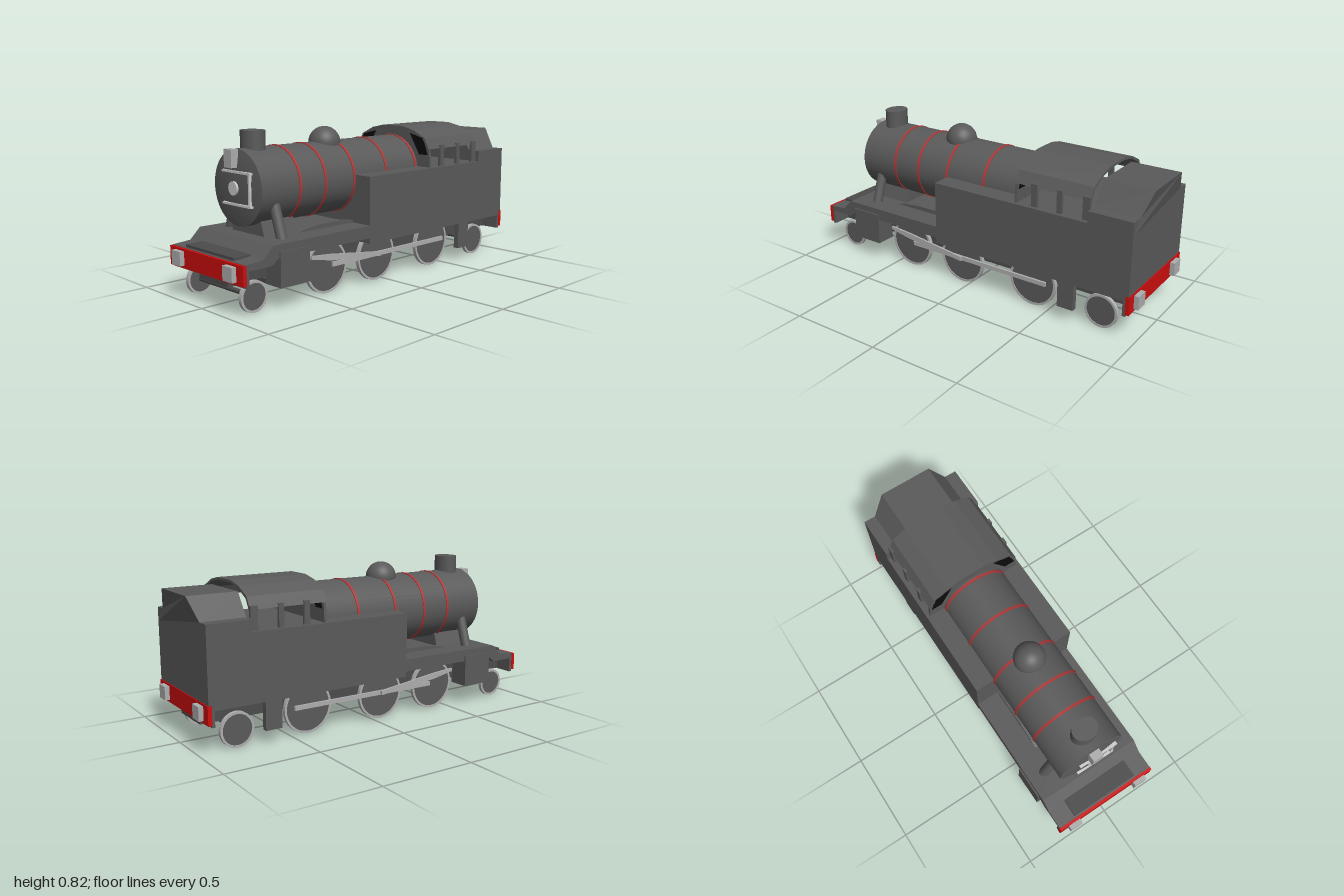
import * as THREE from 'three';

const mat = (name, color) => {
  const m = new THREE.MeshStandardMaterial({ color });
  m.name = name;
  return m;
};

export function createModel() {
  const body = mat('bodyGrey', 0x5a5a5a);
  const frameMat = mat('frameGrey', 0x4c4c4c);
  const steel = mat('steel', 0xaeaeae);
  const bright = mat('brightSteel', 0xcccccc);
  const red = mat('beamRed', 0xcc0e0e);
  const bandRed = mat('bandRed', 0xb03838);
  const glass = mat('windowBlack', 0x0c0c0c);

  const root = new THREE.Group();
  root.name = 'tankLocomotive';

  const add = (name, geo, material, x = 0, y = 0, z = 0) => {
    const m = new THREE.Mesh(geo, material);
    m.name = name;
    m.position.set(x, y, z);
    root.add(m);
    return m;
  };
  // Box given by its limits on each axis
  const box = (name, material, x0, x1, y0, y1, z0, z1) =>
    add(name, new THREE.BoxGeometry(x1 - x0, y1 - y0, z1 - z0), material,
      (x0 + x1) / 2, (y0 + y1) / 2, (z0 + z1) / 2);
  const shapeOf = pts => new THREE.Shape(pts.map(p => new THREE.Vector2(...p)));
  // Outline in x,y extruded from z0 to z1
  const slab = (pts, z0, z1) =>
    new THREE.ExtrudeGeometry(shapeOf(pts), { depth: z1 - z0, bevelEnabled: false }).translate(0, 0, z0);
  // Outline in z,y extruded from x0 to x1
  const sideSlab = (pts, x0, x1) =>
    new THREE.ExtrudeGeometry(shapeOf(pts.map(([z, y]) => [-z, y])), { depth: x1 - x0, bevelEnabled: false })
      .rotateY(Math.PI / 2).translate(x0, 0, 0);
  const mirrored = pts => [...pts, ...pts.slice().reverse().map(([x, y]) => [-x, y])];

  // Boiler with a shallow domed front
  const boilerY = 0.55;
  add('boiler', new THREE.CylinderGeometry(0.188, 0.188, 1.1, 48).rotateX(Math.PI / 2), body, 0, boilerY, 0.225);
  const doorProfile = [[0.188, 0], [0.14, 0.011], [0.07, 0.019], [0, 0.022]].map(p => new THREE.Vector2(...p));
  add('smokeboxDoor', new THREE.LatheGeometry(doorProfile, 48).rotateX(Math.PI / 2), body, 0, boilerY, 0.775);
  for (const z of [0.54, 0.374, 0.176, -0.064, -0.3]) {
    add('boilerBand', new THREE.CylinderGeometry(0.192, 0.192, 0.014, 48).rotateX(Math.PI / 2), bandRed, 0, boilerY, z);
  }

  // Chimney and steam dome
  const chimney = add('chimney', new THREE.CylinderGeometry(0.068, 0.068, 0.12, 32), body, 0, 0.762, 0.68);
  chimney.scale.z = 0.84;
  add('steamDome', new THREE.SphereGeometry(0.084, 32, 20), body, 0, 0.731, 0.212);

  // Door fittings and lamp
  box('doorBar', bright, -0.09, 0.132, 0.624, 0.635, 0.785, 0.803);
  box('doorBar', bright, -0.09, 0.132, 0.467, 0.478, 0.785, 0.803);
  box('doorUpright', bright, 0.113, 0.123, 0.478, 0.624, 0.785, 0.8);
  add('doorBoss', new THREE.CylinderGeometry(0.034, 0.034, 0.012, 24).rotateX(Math.PI / 2), bright, 0, 0.55, 0.8);
  box('lamp', steel, -0.039, 0.019, 0.65, 0.738, 0.782, 0.824);

  // Saddle, tank block and rear bunker
  add('saddle', slab(mirrored([[0.13, 0.31], [0.1, 0.4]]), 0.52, 0.72), body);
  box('sideTanks', body, -0.295, 0.295, 0.225, 0.572, -0.97, 0.17);
  const bunker = slab(mirrored([[0.295, 0.56], [0.295, 0.632], [0.228, 0.632], [0.148, 0.745]]), -0.97, -0.735);
  const p = bunker.attributes.position;
  for (let i = 0; i < p.count; i++) {
    // Lean the upper back wall outwards
    if (p.getZ(i) < -0.9 && p.getY(i) > 0.633) p.setZ(i, -0.97 - 0.03 * (p.getY(i) - 0.632) / 0.113);
  }
  bunker.computeVertexNormals();
  add('bunker', bunker, body);

  // Cab: arched roof shell, front wall, pillars and front windows
  const arch = [[0.27, 0.672], [0.237, 0.732], [0.155, 0.772], [0.07, 0.79]];
  const outer = mirrored(arch);
  const inner = mirrored([[0.256, 0.672], [0.228, 0.72], [0.151, 0.76], [0.068, 0.777]]).reverse();
  add('cabRoof', slab([...outer, ...inner], -0.735, -0.315), body);
  add('cabFrontWall', slab(mirrored([[0.277, 0.565], ...arch.map(([x, y]) => [x - 0.001, y - 0.001])]), -0.332, -0.318), body);
  const pane = [[0.26, 0.64], [0.228, 0.73], [0.131, 0.754], [0.2, 0.64]];
  for (const s of [1, -1]) {
    // Thin panes on the outer and inner faces of the front wall
    for (const z of [-0.335, -0.319]) {
      add('cabFrontWindow', slab(pane.map(([x, y]) => [x * s, y]), z, z + 0.004), glass);
    }
    const limits = s > 0 ? [0.258, 0.274] : [-0.274, -0.258];
    for (const [z0, z1] of [[-0.445, -0.412], [-0.584, -0.556], [-0.735, -0.696]]) {
      box('cabPillar', body, ...limits, 0.565, 0.69, z0, z1);
    }
  }

  // Stepped footplate and frames
  add('footplate', sideSlab([[0.96, 0.255], [0.86, 0.262], [0.8, 0.32], [0.15, 0.32], [0.15, 0.255],
    [0.77, 0.255], [0.81, 0.225], [0.96, 0.225]], -0.295, 0.295), body);
  box('mainFrame', frameMat, -0.195, 0.195, 0.148, 0.27, -0.95, 0.95);
  box('lowerFrame', frameMat, -0.115, 0.115, 0.112, 0.15, -0.94, 0.93);
  box('guardBar', frameMat, -0.18, 0.195, 0.112, 0.134, 0.73, 0.76);

  // Red end beams and square bumper pads at both ends
  for (const s of [1, -1]) {
    const zs = (a, b) => (s > 0 ? [a, b] : [-b, -a]);
    box('endBeam', red, -0.297, 0.297, 0.157, 0.253, ...zs(0.955, 0.975));
    box('beamBacking', body, -0.295, 0.295, 0.146, 0.25, ...zs(0.94, 0.956));
    for (const x of [-0.21, 0.21]) {
      box('bumperPad', steel, x - 0.036, x + 0.036, 0.171, 0.242, ...zs(0.97, 1));
    }
  }

  // Wheels: [z, radius]
  const wheels = [[0.86, 0.077], [0.405, 0.136], [0.05, 0.136], [-0.4, 0.136], [-0.795, 0.09]];
  const rimProfile = r => [[r - 0.012, -0.01], [r, -0.01], [r, 0.01], [r - 0.012, 0.01], [r - 0.012, -0.01]]
    .map(q => new THREE.Vector2(...q));
  for (const [z, r] of wheels) {
    for (const s of [1, -1]) {
      add('wheelDisc', new THREE.CylinderGeometry(r - 0.01, r - 0.01, 0.014, 32).rotateZ(Math.PI / 2), body, s * 0.216, r, z);
      const rim = new THREE.LatheGeometry(rimProfile(r), 40).toNonIndexed();
      rim.computeVertexNormals();
      add('wheelRim', rim.rotateZ(Math.PI / 2), steel, s * 0.216, r, z);
    }
    add('axle', new THREE.CylinderGeometry(0.012, 0.012, 0.42, 12).rotateZ(Math.PI / 2), frameMat, 0, r, z);
  }

  // Parts repeated on each side
  for (const s of [1, -1]) {
    const xs = (a, b) => (s > 0 ? [a, b] : [-b, -a]);
    box('couplingRod', steel, ...xs(0.23, 0.242), 0.134, 0.157, -0.485, 0.38);
    add('connectingRod', sideSlab([[0.53, 0.215], [0.4, 0.204], [0.04, 0.158], [0.04, 0.134], [0.4, 0.172], [0.53, 0.198]],
      ...xs(0.243, 0.254)), steel);
    box('cylinderBlock', body, ...xs(0.19, 0.303), 0.112, 0.285, 0.585, 0.765);
    box('cabStep', body, ...xs(0.25, 0.281), 0.075, 0.23, -0.67, -0.58);
    add('splasher', sideSlab([[0.56, 0.315], [0.5, 0.332], [0.4, 0.343], [0.25, 0.343], [0.17, 0.33], [0.17, 0.315]],
      ...xs(0.138, 0.17)), body);
    // Leaning steam pipe from the footplate to the smokebox
    const from = new THREE.Vector3(s * 0.206, 0.31, 0.675);
    const to = new THREE.Vector3(s * 0.148, 0.485, 0.675);
    const dir = to.clone().sub(from);
    const mid = from.clone().add(to).multiplyScalar(0.5);
    const pipe = add('steamPipe', new THREE.CylinderGeometry(0.027, 0.027, dir.length(), 20), body, mid.x, mid.y, mid.z);
    pipe.quaternion.setFromUnitVectors(new THREE.Vector3(0, 1, 0), dir.normalize());
  }
  return root;
}
